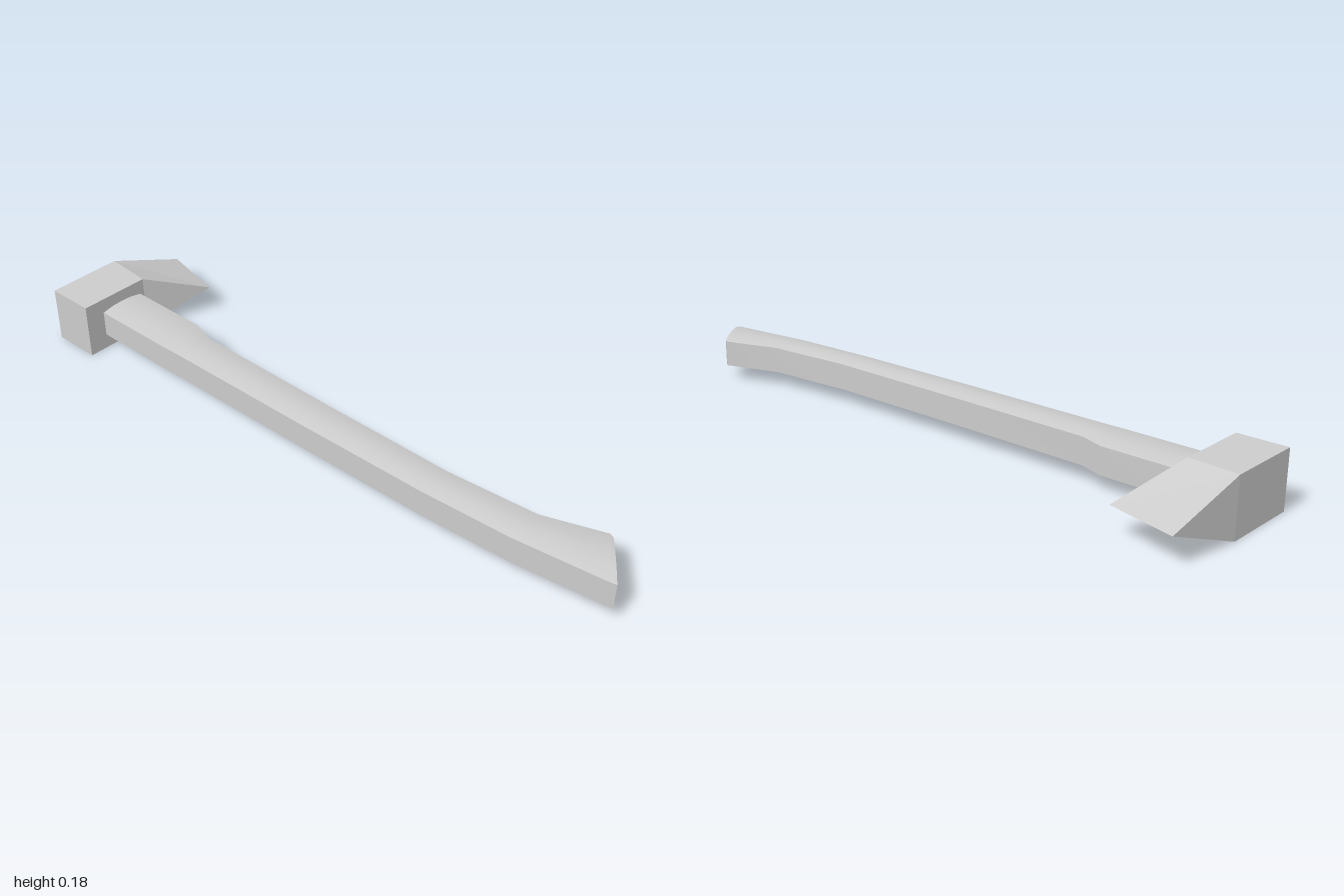
import * as THREE from 'three';
import { toCreasedNormals } from 'three/addons/utils/BufferGeometryUtils.js';

// Skin a series of matching rings (counter-clockwise seen from the far end) and cap both ends
function loft(rings) {
  const n = rings[0].length;
  const index = [];
  for (let i = 0; i < rings.length - 1; i++) {
    for (let j = 0; j < n; j++) {
      const a = i * n + j, b = i * n + (j + 1) % n;
      index.push(a, b, b + n, a, b + n, a + n);
    }
  }
  const last = (rings.length - 1) * n;
  for (let j = 1; j < n - 1; j++) {
    index.push(0, j + 1, j, last, last + j, last + j + 1);
  }
  const geometry = new THREE.BufferGeometry();
  geometry.setAttribute('position', new THREE.Float32BufferAttribute(rings.flat(2), 3));
  geometry.setIndex(index);
  return toCreasedNormals(geometry, 0.45);
}

const MID_Y = 0.088;

// Curved haft: slab section with gently crowned top and bottom
function createHandle() {
  // Left x, left z, right x, right z
  const stations = [
    [-0.178, -0.9, -0.028, -0.9],
    [-0.178, -0.57, -0.028, -0.575],
    [-0.176, -0.5, -0.053, -0.5],
    [-0.174, 0, -0.058, 0],
    [-0.168, 0.43, -0.058, 0.43],
    [-0.153, 0.71, -0.035, 0.71],
    [-0.12, 0.975, 0.028, 0.888],
    [-0.115, 1, 0.02, 0.902],
  ];
  const crown = [[0, 0.041], [0.25, 0.048], [0.5, 0.05], [0.75, 0.048], [1, 0.041]];
  const rings = stations.map(([x0, z0, x1, z1]) => {
    const at = ([t, h], side) => [x0 + (x1 - x0) * t, MID_Y + side * h, z0 + (z1 - z0) * t];
    return [
      ...crown.map((p) => at(p, -1)),
      ...[...crown].reverse().map((p) => at(p, 1)),
    ];
  });
  return loft(rings);
}

// Axe head: square poll tapering to a flared cutting edge
function createHead() {
  // x, half height, front z, back z
  const sections = [
    [-0.243, 0.088, -0.847, -1, -0.243],
    [-0.012, 0.088, -0.847, -1, 0],
    [0.19, 0, -0.76, -0.972, 0.24],
  ];
  return loft(sections.map(([xf, h, zf, zb, xb]) => [
    [xf, MID_Y - h, zf],
    [xb, MID_Y - h, zb],
    [xb, MID_Y + h, zb],
    [xf, MID_Y + h, zf],
  ]));
}

export function createModel() {
  const group = new THREE.Group();
  group.name = 'axe';

  const handle = new THREE.Mesh(createHandle(), new THREE.MeshStandardMaterial({ color: 0xcccccc }));
  handle.name = 'handle';

  const head = new THREE.Mesh(
    createHead(),
    new THREE.MeshStandardMaterial({ color: 0xcccccc, flatShading: true }),
  );
  head.name = 'axeHead';

  group.add(handle, head);
  return group;
}
